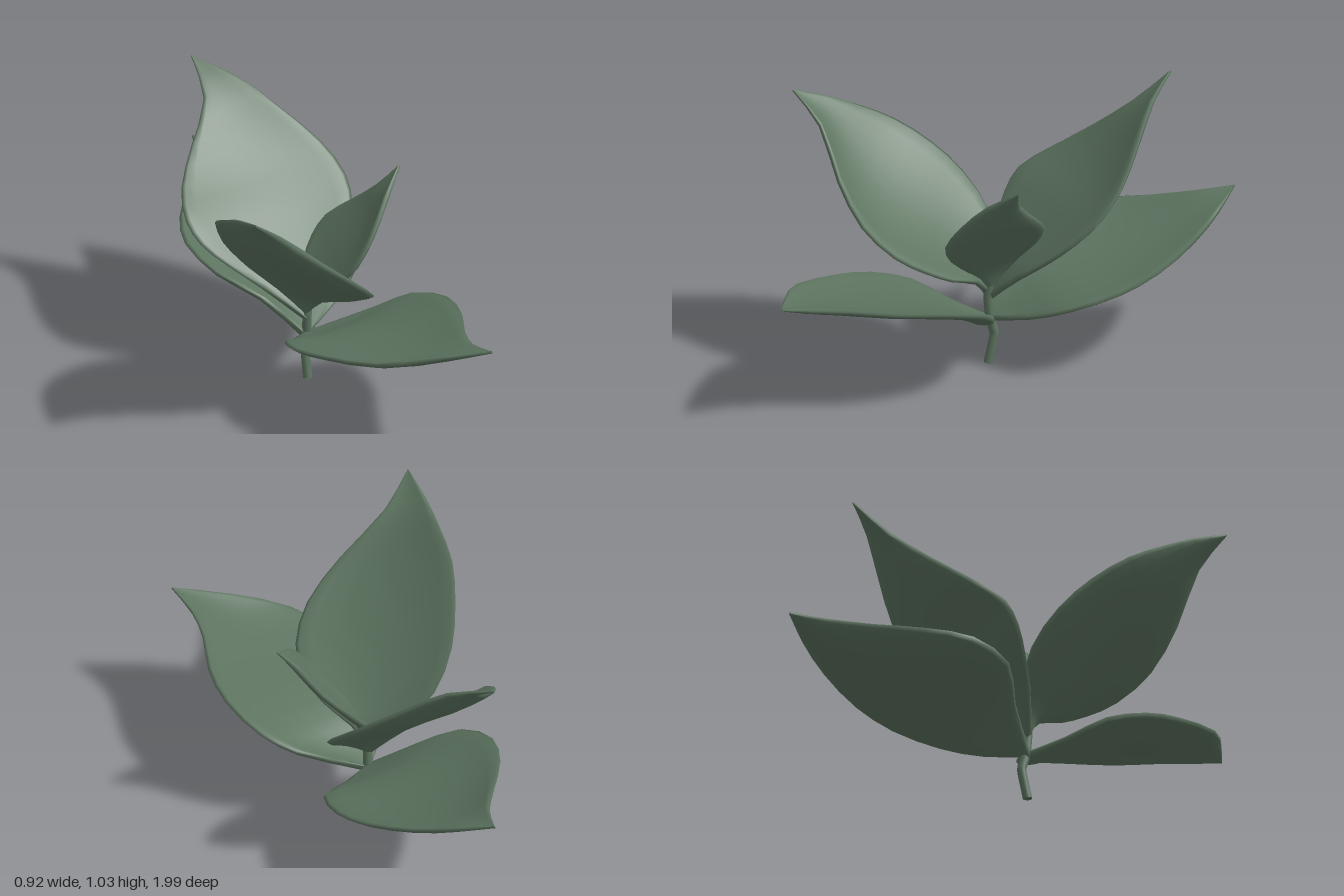
import * as THREE from 'three';

const material = new THREE.MeshStandardMaterial({ color: 0x5c735f, side: THREE.DoubleSide });

// Each leaf: base, tip, depth of cupping and matching [left xyz, right xyz] edge pairs from base to tip
const LEAVES = {
  lowerFrontLeaf: {
    base: [0.04, 0.175, 0], tip: [0.34, 0.485, 0.995], cup: 0.08,
    edges: [
      [0.30, 0.28, 0.10, -0.08, 0.225, 0.12],
      [0.41, 0.35, 0.18, -0.17, 0.30, 0.25],
      [0.46, 0.405, 0.36, -0.20, 0.34, 0.40],
      [0.43, 0.425, 0.55, -0.16, 0.37, 0.55],
      [0.36, 0.44, 0.72, -0.04, 0.41, 0.77],
      [0.33, 0.455, 0.86, 0.14, 0.45, 0.89],
    ],
  },
  lowerBackLeaf: {
    base: [0.03, 0.175, 0.02], tip: [0.05, 0.56, -0.995], cup: 0.08,
    edges: [
      [-0.10, 0.31, -0.11, 0.20, 0.22, -0.09],
      [-0.24, 0.40, -0.21, 0.35, 0.29, -0.20],
      [-0.28, 0.455, -0.38, 0.39, 0.34, -0.38],
      [-0.22, 0.48, -0.55, 0.36, 0.39, -0.55],
      [-0.10, 0.51, -0.72, 0.26, 0.45, -0.74],
      [0.00, 0.54, -0.86, 0.16, 0.51, -0.88],
    ],
  },
  upperFrontLeaf: {
    base: [0.04, 0.28, 0.02], tip: [-0.46, 1.015, 0.60], cup: 0.08,
    edges: [
      [0.08, 0.345, 0.08, -0.06, 0.385, -0.06],
      [0.13, 0.39, 0.20, -0.19, 0.51, -0.09],
      [0.15, 0.45, 0.32, -0.30, 0.645, -0.03],
      [0.12, 0.515, 0.43, -0.37, 0.755, 0.07],
      [0.02, 0.615, 0.52, -0.43, 0.85, 0.20],
      [-0.14, 0.75, 0.55, -0.45, 0.92, 0.34],
      [-0.33, 0.91, 0.545, -0.46, 0.97, 0.46],
    ],
  },
  upperBackLeaf: {
    base: [0.03, 0.25, 0.02], tip: [-0.06, 1.02, -0.78], cup: 0.05,
    edges: [
      [-0.12, 0.38, -0.06, 0.18, 0.38, -0.05],
      [-0.22, 0.46, -0.13, 0.27, 0.46, -0.12],
      [-0.30, 0.535, -0.20, 0.34, 0.55, -0.21],
      [-0.33, 0.61, -0.27, 0.36, 0.64, -0.31],
      [-0.29, 0.69, -0.39, 0.31, 0.74, -0.42],
      [-0.19, 0.79, -0.51, 0.19, 0.86, -0.54],
      [-0.08, 0.91, -0.63, 0.07, 0.965, -0.65],
    ],
  },
  smallTopLeaf: {
    base: [0.045, 0.31, 0.01], tip: [0.41, 0.83, 0.05], cup: 0.07,
    edges: [
      [0.08, 0.43, -0.09, 0.05, 0.385, 0.10],
      [0.14, 0.51, -0.145, 0.08, 0.45, 0.185],
      [0.20, 0.58, -0.15, 0.14, 0.54, 0.235],
      [0.28, 0.66, -0.08, 0.22, 0.64, 0.21],
      [0.34, 0.745, 0.01, 0.31, 0.745, 0.14],
    ],
  },
};

// Cupped, slightly thick blade lofted through closed cross-sections
function leafGeometry({ base, tip, cup, edges }, thickness = 0.03) {
  const curve = (k) => new THREE.CatmullRomCurve3(
    [base, ...edges.map((e) => e.slice(k, k + 3)), tip].map((p) => new THREE.Vector3(...p)));
  const left = curve(0), right = curve(3);
  const axis = new THREE.Vector3(...tip).sub(new THREE.Vector3(...base));
  const rows = (edges.length + 1) * 2, across = 10, ring = across * 2;
  const positions = [], index = [];

  for (let i = 0; i <= rows; i++) {
    const t = i / rows, tn = THREE.MathUtils.clamp(t, 0.12, 0.88);
    const l = left.getPoint(t), r = right.getPoint(t);
    const normal = right.getPoint(tn).sub(left.getPoint(tn)).cross(axis).normalize();
    const width = l.distanceTo(r);
    const half = thickness / 2 * Math.min(1, 0.3 + 4 * (1 - t));
    for (let j = 0; j < ring; j++) {
      // upper face runs left to right, lower face runs back
      const angle = Math.PI * j / across;
      const s = -Math.cos(angle);
      const side = Math.sign(Math.sin(angle)) * Math.abs(Math.sin(angle)) ** 0.35;
      const lift = -cup * width * (1 - s * s) + half * (j % across ? side : 0);
      const p = l.clone().lerp(r, (s + 1) / 2).addScaledVector(normal, lift);
      positions.push(p.x, p.y, p.z);
    }
  }
  for (let i = 0; i < rows; i++) {
    for (let j = 0; j < ring; j++) {
      const a = i * ring + j, b = i * ring + (j + 1) % ring;
      index.push(a, b, a + ring, b, b + ring, a + ring);
    }
  }
  const geometry = new THREE.BufferGeometry();
  geometry.setAttribute('position', new THREE.Float32BufferAttribute(positions, 3));
  geometry.setIndex(index);
  geometry.computeVertexNormals();
  return geometry;
}

export function createModel() {
  const group = new THREE.Group();
  group.name = 'leafyPlant';
  const add = (name, geometry) => {
    const mesh = new THREE.Mesh(geometry, material);
    mesh.name = name;
    group.add(mesh);
    return mesh;
  };

  for (const [name, leaf] of Object.entries(LEAVES)) add(name, leafGeometry(leaf));

  // Kinked stem, with a flat foot on the ground
  const path = new THREE.CatmullRomCurve3([
    [0.043, 0, 0.015], [0.043, 0.115, -0.01], [0.042, 0.18, 0.008],
    [0.04, 0.27, 0.015], [0.045, 0.33, 0.008],
  ].map((p) => new THREE.Vector3(...p)), false, 'catmullrom', 0.15);
  add('stem', new THREE.TubeGeometry(path, 24, 0.018, 10));
  const foot = add('stemFoot', new THREE.CircleGeometry(0.018, 10));
  foot.rotation.x = Math.PI / 2;
  foot.position.set(0.043, 0.001, 0.015);

  return group;
}
